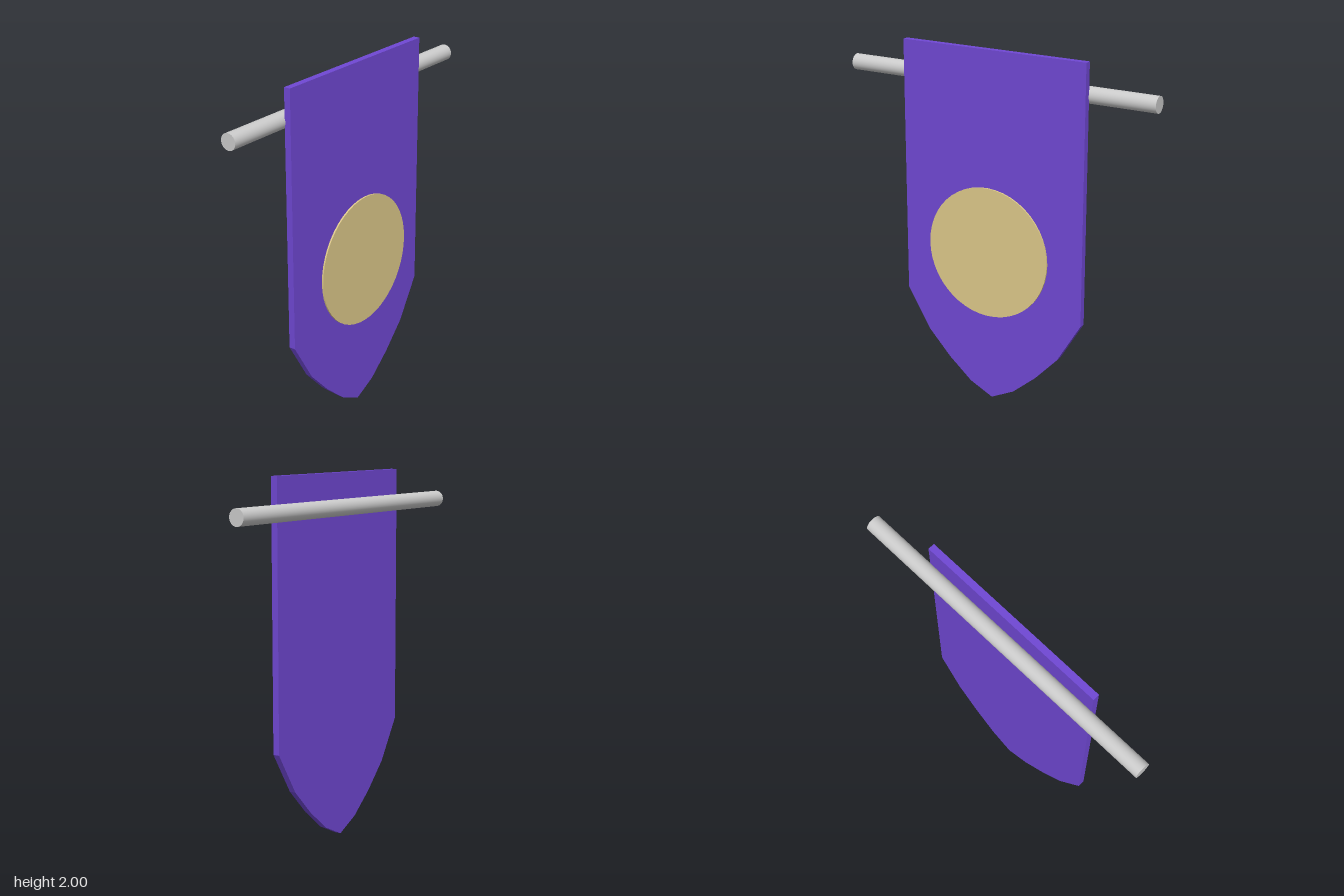
import * as THREE from 'three';

const material = (color) => new THREE.MeshStandardMaterial({ color });

function addMesh(group, name, geometry, color) {
  const mesh = new THREE.Mesh(geometry, material(color));
  mesh.name = name;
  group.add(mesh);
  return mesh;
}

export function createModel() {
  const group = new THREE.Group();
  group.name = 'banner';

  // Cloth: straight sides, faceted curve to a point at the bottom
  const half = [[0.555, 2], [0.555, 0.56], [0.416, 0.33], [0.278, 0.185], [0.139, 0.068]];
  const outline = [
    ...half.map(([x, y]) => new THREE.Vector2(-x, y)),
    new THREE.Vector2(0, 0),
    ...half.reverse().map(([x, y]) => new THREE.Vector2(x, y)),
  ];
  const cloth = new THREE.ExtrudeGeometry(new THREE.Shape(outline), { depth: 0.037, bevelEnabled: false });
  addMesh(group, 'cloth', cloth, 0x7048d4);

  // Thin round emblem held just in front of the cloth
  const emblem = addMesh(group, 'emblem', new THREE.CylinderGeometry(0.37, 0.37, 0.009, 48), 0xdec98a);
  emblem.rotation.x = Math.PI / 2;
  emblem.position.set(0, 0.888, 0.081);

  // Horizontal pole behind the cloth
  const pole = addMesh(group, 'pole', new THREE.CylinderGeometry(0.045, 0.045, 1.854, 32), 0xcccccc);
  pole.rotation.z = Math.PI / 2;
  pole.position.set(0, 1.817, -0.04);

  return group;
}
